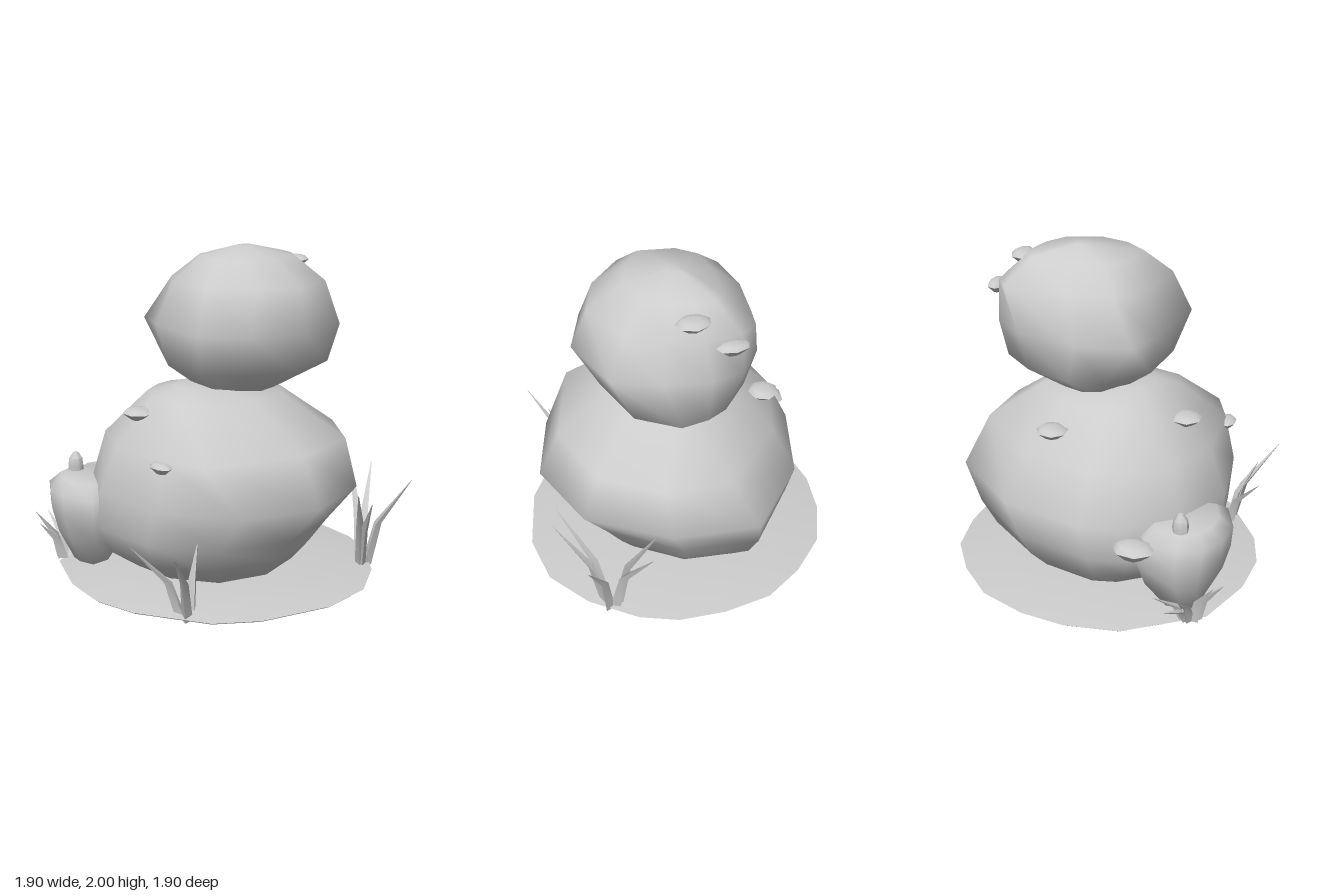
import * as THREE from 'three';
import { toCreasedNormals } from 'three/addons/utils/BufferGeometryUtils.js';

// Skin a closed surface over rings of points listed from bottom to top
function loft(rings, crease) {
  const n = rings[0].length, pos = [], idx = [];
  rings.forEach(r => r.forEach(p => pos.push(p.x, p.y, p.z)));
  for (let i = 0; i < rings.length - 1; i++) {
    for (let j = 0; j < n; j++) {
      const a = i * n + j, b = i * n + (j + 1) % n;
      idx.push(a, a + n, b + n, a, b + n, b);
    }
  }
  const cap = (start, up) => {
    const ring = rings[start / n];
    const c = ring.reduce((s, p) => s.add(p), new THREE.Vector3()).divideScalar(n);
    const k = pos.length / 3;
    pos.push(c.x, c.y, c.z);
    for (let j = 0; j < n; j++) {
      const a = start + j, b = start + (j + 1) % n;
      if (up) idx.push(k, b, a); else idx.push(k, a, b);
    }
  };
  cap(0, false);
  cap((rings.length - 1) * n, true);
  const geo = new THREE.BufferGeometry();
  geo.setAttribute('position', new THREE.Float32BufferAttribute(pos, 3));
  geo.setIndex(idx);
  geo.computeVertexNormals();
  return crease ? toCreasedNormals(geo, crease) : geo;
}

// Fit one [x, z] outline into each level [y, xMin, xMax, zMin, zMax]
function levels(outline, list) {
  const xs = outline.map(p => p[0]), zs = outline.map(p => p[1]);
  const x0 = Math.min(...xs), x1 = Math.max(...xs), z0 = Math.min(...zs), z1 = Math.max(...zs);
  return list.map(([y, a, b, c, d]) => outline.map(([x, z]) => new THREE.Vector3(
    a + (b - a) * (x - x0) / (x1 - x0), y, c + (d - c) * (z - z0) / (z1 - z0))));
}

const circle = n => Array.from({ length: n }, (_, i) =>
  [Math.cos(i / n * Math.PI * 2), Math.sin(i / n * Math.PI * 2)]);

// Shelf mushroom: tapered underside, wide rim, shallow top
function capGeometry(rx, rz, h) {
  return loft(levels(circle(7), [[-0.5, 0.45], [0.1, 1], [0.42, 0.72], [0.5, 0.3]].map(
    ([y, s]) => [y * h, -rx * s, rx * s, -rz * s, rz * s])), 0.9);
}

// Bent, tapering three-sided grass blade
function bladeGeometry(base, tip) {
  const bend = base.clone().lerp(tip, 0.24);
  bend.y = base.y + (tip.y - base.y) * 0.5;
  const rows = [[base, 0.036], [bend, 0.028], [tip, 0.002]];
  const turn = Math.atan2(tip.z - base.z, tip.x - base.x);
  return loft(rows.map(([p, r]) => [0, 1, 2].map(k => {
    const a = turn + k * Math.PI * 2 / 3;
    return new THREE.Vector3(p.x + r * Math.cos(a), p.y, p.z + r * Math.sin(a));
  })), 0.5);
}

export function createModel() {
  const model = new THREE.Group();
  const stone = new THREE.MeshStandardMaterial({ color: 0xcccccc });
  stone.name = 'stone grey';
  const add = (name, geo, parent = model) => {
    const mesh = new THREE.Mesh(geo, stone);
    mesh.name = name;
    parent.add(mesh);
    return mesh;
  };

  // Low earth mound
  const rim = [[-0.94, 0], [-0.9, -0.3], [-0.75, -0.65], [-0.3, -0.92], [0.03, -0.95], [0.3, -0.9],
    [0.58, -0.77], [0.78, -0.55], [0.92, -0.3], [0.95, 0], [0.92, 0.28], [0.82, 0.5], [0.6, 0.75],
    [0.33, 0.92], [0, 0.95], [-0.42, 0.83], [-0.65, 0.67], [-0.88, 0.27]];
  add('groundMound', loft(levels(rim, [
    [0.02, -0.93, 0.94, -0.94, 0.94], [0.028, -0.94, 0.95, -0.95, 0.95],
    [0.06, -0.72, 0.72, -0.72, 0.72], [0.078, -0.35, 0.35, -0.35, 0.35]]), 0.6));

  // Large lower boulder, with fuller front corners at the shoulder
  const lower = [[-0.02, -0.78], [0.48, -0.62], [0.88, -0.23], [0.8, 0.28], [0.47, 0.72], [0, 0.86],
    [-0.46, 0.7], [-0.72, 0.28], [-0.75, -0.2], [-0.55, -0.54], [-0.25, -0.74]];
  const shoulder = [[-0.05, -0.66], [0.38, -0.51], [0.76, -0.1], [0.71, 0.29], [0.46, 0.63], [0, 0.73],
    [-0.57, 0.52], [-0.66, 0.27], [-0.65, -0.17], [-0.5, -0.48], [-0.24, -0.63]];
  add('lowerBoulder', loft([
    ...levels(lower, [
      [0.04, -0.45, 0.52, -0.5, 0.42], [0.2, -0.67, 0.68, -0.66, 0.56],
      [0.36, -0.74, 0.77, -0.75, 0.68], [0.59, -0.75, 0.88, -0.78, 0.86]]),
    ...levels(shoulder, [
      [0.87, -0.66, 0.76, -0.65, 0.73], [1.13, -0.41, 0.41, -0.38, 0.37],
      [1.19, -0.27, 0.1, -0.15, 0.15]])]));

  // Upper boulder resting off centre: foot, middle and crown outlines
  const foot = [[-0.12, -0.42], [0.1, -0.46], [0.4, -0.32], [0.6, -0.1], [0.66, 0.05], [0.68, 0.25],
    [0.5, 0.52], [0.1, 0.63], [-0.2, 0.5], [-0.42, 0.28], [-0.36, -0.15]];
  const middle = [[-0.23, -0.42], [0.1, -0.46], [0.48, -0.34], [0.64, -0.2], [0.68, 0], [0.62, 0.25],
    [0.5, 0.52], [0.1, 0.63], [-0.2, 0.5], [-0.42, 0.28], [-0.32, -0.2]];
  const crown = [[-0.17, -0.42], [0.14, -0.46], [0.6, -0.38], [0.68, -0.25], [0.68, 0], [0.62, 0.25],
    [0.47, 0.5], [0.1, 0.63], [-0.2, 0.5], [-0.42, 0.25], [-0.34, -0.2]];
  add('upperBoulder', loft([
    ...levels(foot, [[1.14, -0.1, 0.36, -0.18, 0.24], [1.3, -0.33, 0.69, -0.39, 0.5]]),
    ...levels(middle, [[1.55, -0.42, 0.67, -0.45, 0.64]]),
    ...levels(crown, [[1.8, -0.31, 0.63, -0.34, 0.55], [1.94, -0.15, 0.48, -0.17, 0.34],
      [1.995, 0.13, 0.23, 0, 0.1]])]));

  // Small boulder behind, narrow at its foot
  const small = [[-0.59, -0.8], [-0.36, -0.77], [-0.3, -0.5], [-0.5, -0.25], [-0.78, -0.25],
    [-0.85, -0.45], [-0.82, -0.62], [-0.73, -0.76]];
  add('smallBoulder', loft(levels(small, [
    [0.06, -0.7, -0.48, -0.66, -0.4], [0.25, -0.8, -0.35, -0.76, -0.28],
    [0.4, -0.84, -0.3, -0.8, -0.24], [0.53, -0.85, -0.32, -0.79, -0.24],
    [0.595, -0.77, -0.4, -0.72, -0.32]])));

  // Shelf mushrooms: x, y, z, radius x, radius z, height
  const caps = new THREE.Group();
  caps.name = 'shelfMushrooms';
  model.add(caps);
  [[-0.49, 1.04, -0.15, 0.09, 0.095, 0.07], [-0.67, 0.84, 0.27, 0.05, 0.08, 0.06],
    [0.22, 1.03, -0.5, 0.09, 0.09, 0.07], [0.66, 1.745, -0.11, 0.055, 0.095, 0.07],
    [0.56, 1.875, 0.08, 0.075, 0.1, 0.07], [-0.34, 0.5, -0.79, 0.12, 0.1, 0.1],
  ].forEach(([x, y, z, rx, rz, h]) =>
    add('shelfMushroom', capGeometry(rx, rz, h), caps).position.set(x, y, z));

  // Button mushroom on the small boulder
  const button = [[0.54, 0.04], [0.62, 0.046], [0.67, 0.04], [0.705, 0.016]];
  add('buttonMushroom', loft(levels(circle(7), button.map(([y, r]) =>
    [y, -0.585 - r, -0.585 + r, -0.67 - r, -0.67 + r])), 0.9));

  // Grass clumps: base point, then blade tips
  [
    [[0.64, 0.01, 0.62], [[0.34, 0.59, 0.85], [0.42, 0.53, 0.89], [0.88, 0.56, 0.81],
      [0.93, 0.59, 0.44], [0.8, 0.65, 0.36]]],
    [[-0.66, 0, 0.48], [[-0.95, 0.5, 0.71], [-0.89, 0.42, 0.26], [-0.57, 0.42, 0.46], [-0.83, 0.4, 0.6]]],
    [[-0.66, 0.03, -0.68], [[-0.64, 0.27, -0.92], [-0.55, 0.2, -0.92], [-0.81, 0.33, -0.8],
      [-0.85, 0.29, -0.7], [-0.47, 0.22, -0.82]]],
  ].forEach(([root, tips]) => {
    const clump = new THREE.Group();
    clump.name = 'grassClump';
    model.add(clump);
    const centre = new THREE.Vector3(...root);
    tips.forEach(t => {
      const tip = new THREE.Vector3(...t);
      const out = tip.clone().sub(centre).setY(0).setLength(0.035);
      add('grassBlade', bladeGeometry(centre.clone().add(out), tip), clump);
    });
  });
  return model;
}
